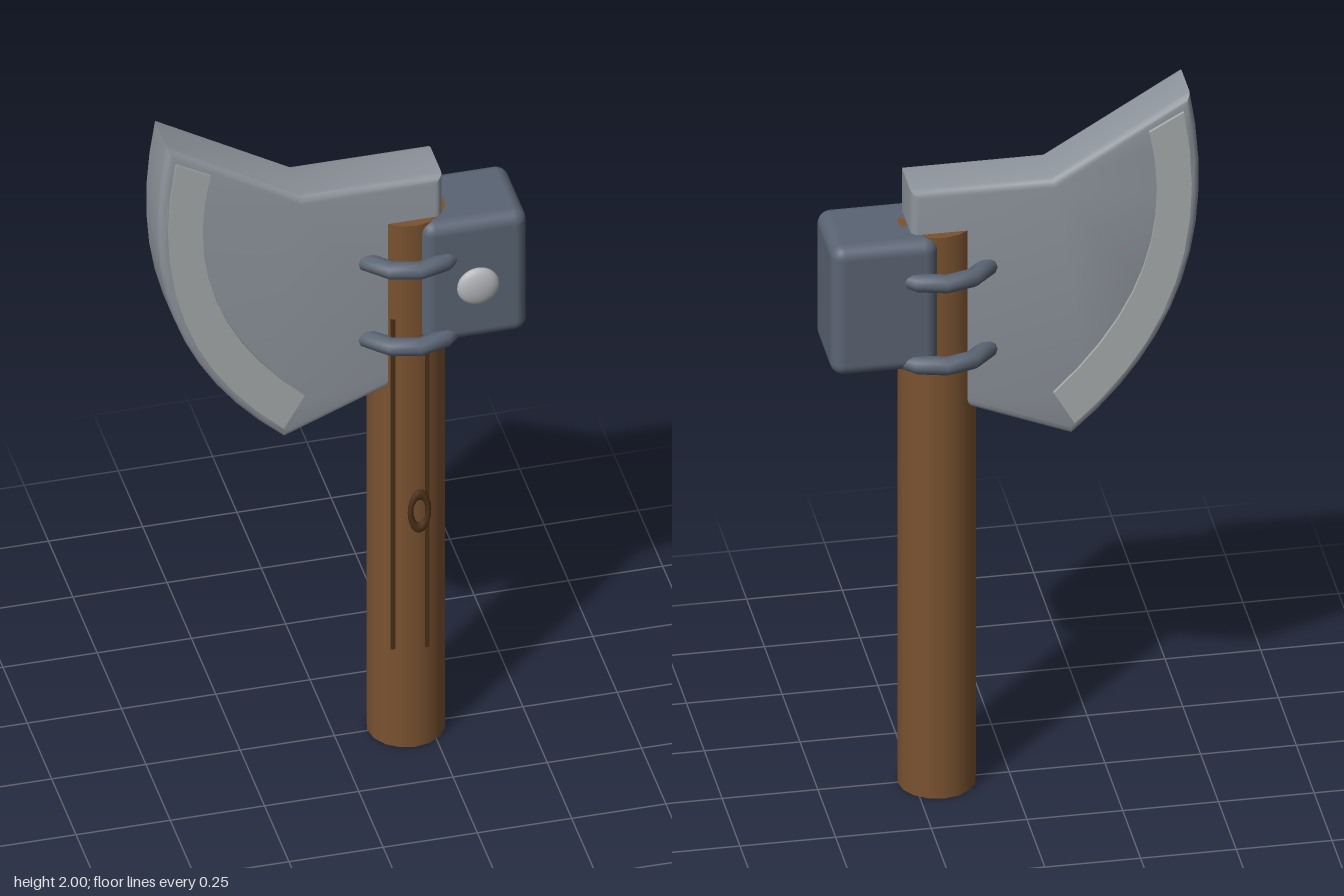
import * as THREE from 'three';
import { RoundedBoxGeometry } from 'three/addons/geometries/RoundedBoxGeometry.js';
import { toCreasedNormals } from 'three/addons/utils/BufferGeometryUtils.js';

const HX = 0.19; // handle axis

export function createModel() {
  const root = new THREE.Group();
  root.position.z = -0.003;

  const paint = (color) => new THREE.MeshStandardMaterial({ color });
  const wood = paint(0x7a5230);
  const darkWood = paint(0x4a3018);
  const steel = paint(0x8f959d);
  const edgeSteel = paint(0xa6abab);
  const iron = paint(0x5a6473);
  const rivetSteel = paint(0xb4b6ba);

  const add = (name, geometry, material, x = 0, y = 0, z = 0) => {
    const mesh = new THREE.Mesh(geometry, material);
    mesh.name = name;
    mesh.position.set(x, y, z);
    root.add(mesh);
    return mesh;
  };

  // Handle
  add('handle', new THREE.CylinderGeometry(0.102, 0.102, 1.66, 16), wood, HX, 0.83, 0);

  // Wood grain lines and knot on the front of the handle
  add('grainLeft', new THREE.BoxGeometry(0.012, 1.05, 0.012), darkWood, 0.135, 0.835, 0.081);
  add('grainRight', new THREE.BoxGeometry(0.012, 1.05, 0.012), darkWood, 0.222, 0.835, 0.093);
  const knot = add('knot', new THREE.TorusGeometry(0.025, 0.008, 8, 20), darkWood, 0.2, 0.75, 0.102);
  knot.scale.set(0.95, 2.1, 1);

  // Blade with rounded rim
  const blade = new THREE.Shape();
  blade.moveTo(-0.46, 2);
  blade.quadraticCurveTo(-0.575, 1.385, -0.15, 1.025);
  blade.lineTo(0.27, 1.195);
  blade.lineTo(0.27, 1.785);
  blade.lineTo(-0.1, 1.785);
  blade.closePath();
  const bevel = 0.022;
  const bladeGeo = new THREE.ExtrudeGeometry(blade, {
    depth: 0.152 - 2 * bevel, curveSegments: 12,
    bevelSize: bevel, bevelThickness: bevel, bevelOffset: -bevel, bevelSegments: 4,
  });
  bladeGeo.translate(0, 0, -0.076 + bevel);
  add('blade', toCreasedNormals(bladeGeo, 0.6), steel);

  // Sharpened band following the cutting edge, raised on both faces
  const band = new THREE.Shape();
  band.moveTo(-0.44, 1.955);
  band.quadraticCurveTo(-0.54, 1.4, -0.155, 1.065);
  band.lineTo(-0.1, 1.16);
  band.quadraticCurveTo(-0.445, 1.48, -0.35, 1.905);
  band.closePath();
  const bandGeo = new THREE.ExtrudeGeometry(band, { depth: 0.17, bevelEnabled: false, curveSegments: 10 });
  bandGeo.translate(0, 0, -0.085);
  add('edgeBand', toCreasedNormals(bandGeo, 0.5), edgeSteel);

  // Hammer block and its rivet
  add('hammerBlock', new RoundedBoxGeometry(0.28, 0.38, 0.24, 4, 0.035), iron, 0.345, 1.47, 0);
  const rivet = add('rivet', new THREE.SphereGeometry(0.056, 20, 14), rivetSteel, 0.345, 1.47, 0.143);
  rivet.scale.z = 0.38;

  // Binding rings around the handle
  for (const [name, y] of [['upperRing', 1.545], ['lowerRing', 1.302]]) {
    const ring = add(name, new THREE.TorusGeometry(0.14, 0.025, 10, 12), iron, HX, y, 0);
    ring.rotation.x = Math.PI / 2;
  }

  return root;
}
